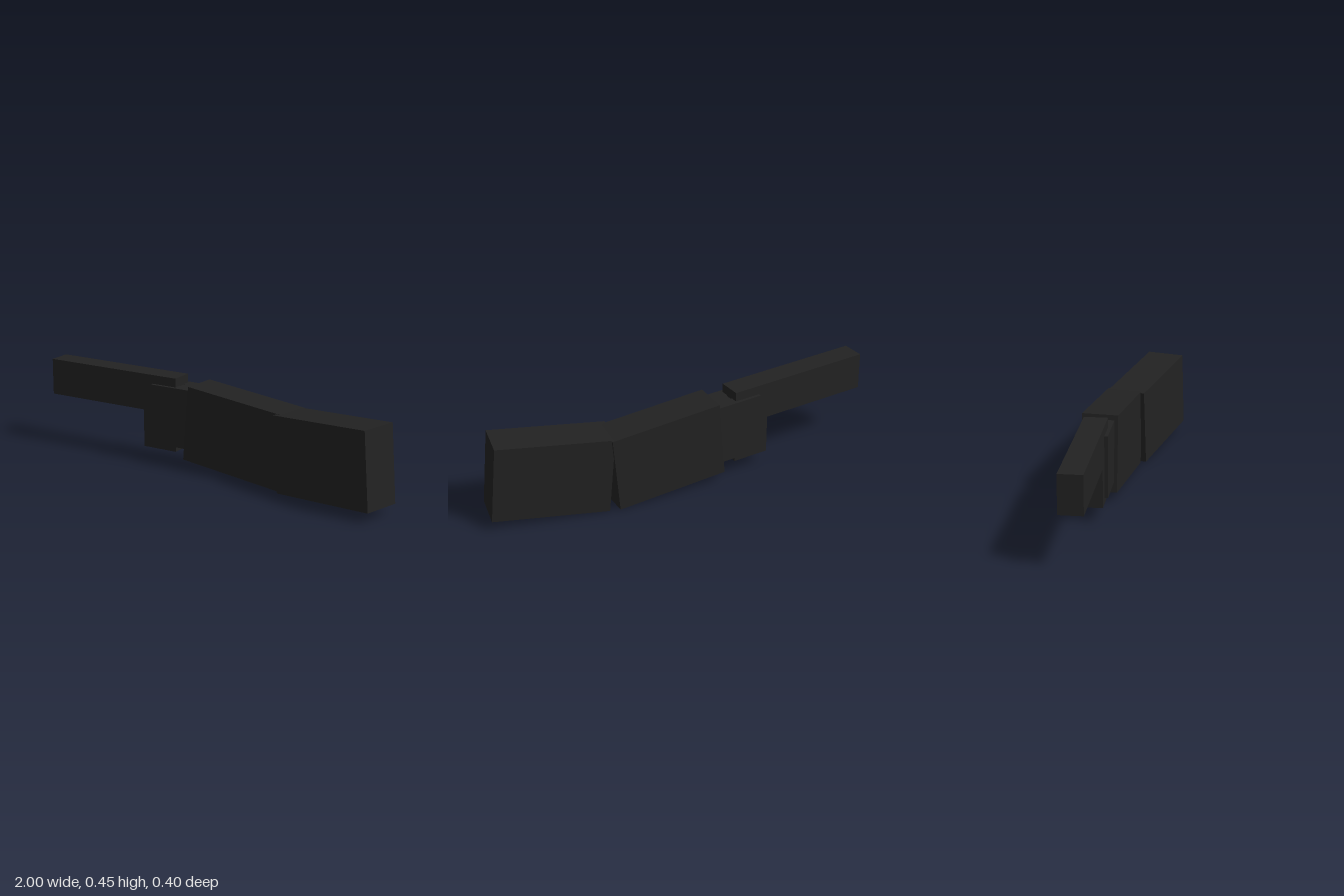
import * as THREE from 'three';

export function createModel() {
  const model = new THREE.Group();
  const black = new THREE.MeshStandardMaterial({ color: 0x222222 });
  black.name = 'matte black';

  const add = (name, geometry, x, y, z) => {
    const mesh = new THREE.Mesh(geometry, black);
    mesh.name = name;
    mesh.position.set(x, y, z);
    model.add(mesh);
    return mesh;
  };
  // Box given by its lowest and highest corner
  const block = (name, a, b) => add(name,
    new THREE.BoxGeometry(b[0] - a[0], b[1] - a[1], b[2] - a[2]),
    (a[0] + b[0]) / 2, (a[1] + b[1]) / 2, (a[2] + b[2]) / 2);

  // Straight arm with a lug hanging from its inner end
  const outline = new THREE.Shape([
    [-1, 0.263], [-0.43, 0.263], [-0.43, 0.07], [-0.24, 0.07], [-0.24, 0.45], [-1, 0.45],
  ].map(([x, y]) => new THREE.Vector2(x, y)));
  add('armWithLug', new THREE.ExtrudeGeometry(outline, { depth: 0.115, bevelEnabled: false }),
    0, 0, -0.17);

  // Fork clasping the lug: two cheeks and a bridge, with a narrow slit before the bridge
  block('forkBackCheek', [-0.375, 0.1, -0.187], [-0.12, 0.405, -0.135]);
  block('forkFrontCheek', [-0.375, 0.1, -0.095], [-0.12, 0.405, -0.038]);
  block('forkBridge', [-0.234, 0.1, -0.135], [-0.12, 0.405, -0.095]);

  // Two tilted grip segments that bend forward
  const deg = THREE.MathUtils.degToRad;
  const segment = (name, thickness, position, yaw, roll) => {
    const mesh = add(name, new THREE.BoxGeometry(0.568, 0.382, thickness), ...position);
    mesh.rotation.set(0, deg(yaw), deg(roll), 'YXZ');
  };
  segment('innerGrip', 0.177, [0.13, 0.215, -0.085], -5, -5);
  segment('outerGrip', 0.192, [0.683, 0.215, 0.029], -15, 5);

  return model;
}
